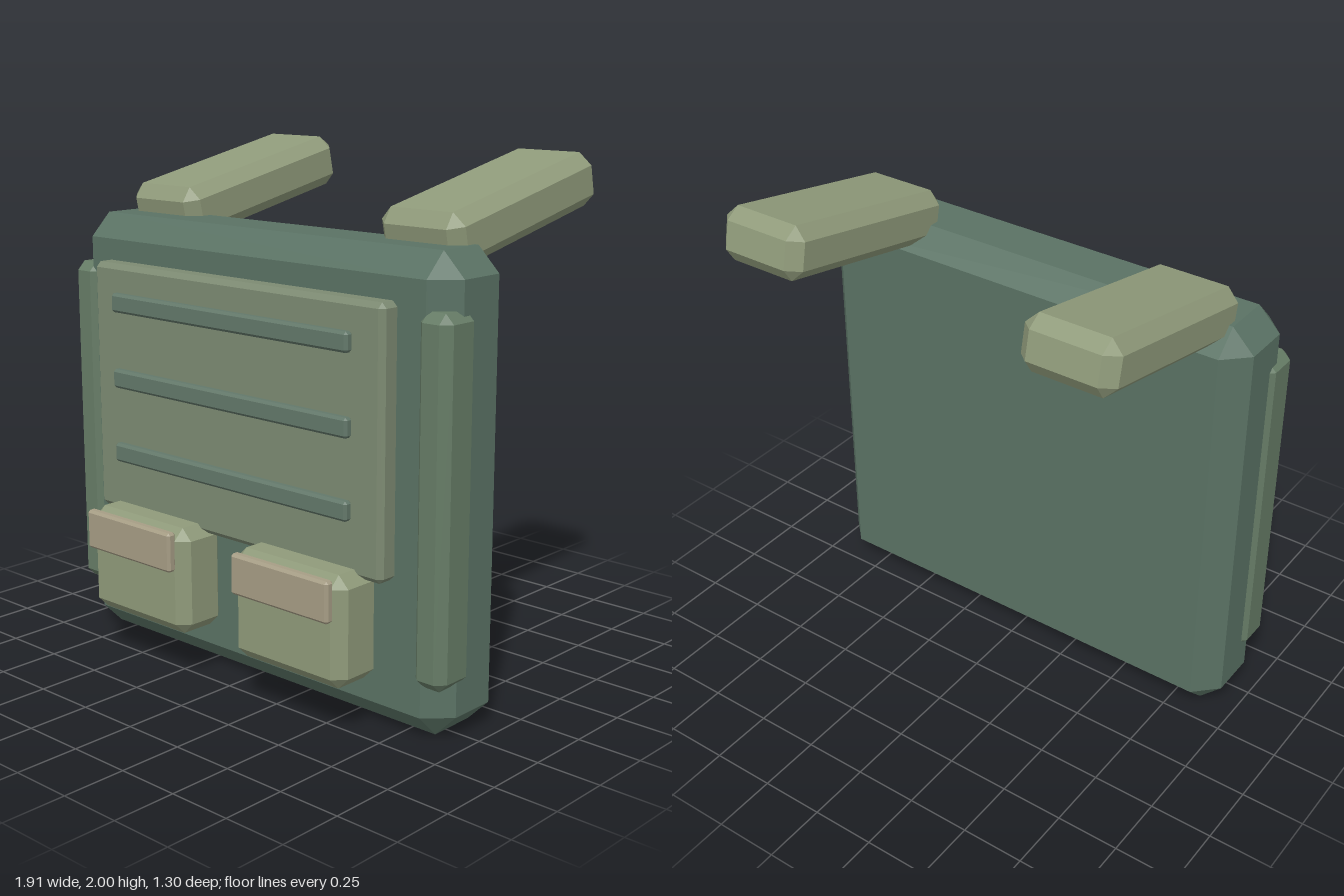
import * as THREE from 'three';
import { ConvexGeometry } from 'three/addons/geometries/ConvexGeometry.js';

const material = (color) => new THREE.MeshStandardMaterial({ color, flatShading: true });

// Box with every edge cut by a chamfer of size c
function chamferBox(w, h, d, c) {
  const [x, y, z] = [w / 2, h / 2, d / 2];
  const points = [];
  for (const i of [-1, 1]) for (const j of [-1, 1]) for (const k of [-1, 1]) {
    points.push(
      new THREE.Vector3(i * x, j * (y - c), k * (z - c)),
      new THREE.Vector3(i * (x - c), j * y, k * (z - c)),
      new THREE.Vector3(i * (x - c), j * (y - c), k * z));
  }
  return new ConvexGeometry(points);
}

export function createModel() {
  const group = new THREE.Group();
  const bodyMat = material(0x5a7264);
  const panelMat = material(0x7c8a72);
  const sideMat = material(0x667c66);
  const stripMat = material(0x63786a);
  const pouchMat = material(0x8f9a7a);
  const flapMat = material(0xa69d85);

  // Chamfered block given by its [min, max] on each axis
  function block(name, mat, [x0, x1], [y0, y1], [z0, z1], c) {
    const mesh = new THREE.Mesh(chamferBox(x1 - x0, y1 - y0, z1 - z0, c), mat);
    mesh.position.set((x0 + x1) / 2, (y0 + y1) / 2, (z0 + z1) / 2);
    mesh.name = name;
    group.add(mesh);
    return mesh;
  }

  // Main pack and raised front panel
  block('body', bodyMat, [-0.94, 0.94], [0, 1.73], [0.03, 0.4], 0.09);
  block('frontPanel', panelMat, [-0.74, 0.74], [0.575, 1.56], [0.395, 0.49], 0.02);

  // Horizontal webbing strips on the panel
  for (const y of [0.82, 1.117, 1.415]) {
    block('webbingStrip', stripMat, [-0.607, 0.607], [y - 0.037, y + 0.037], [0.485, 0.523], 0.01);
  }

  // Mirrored parts
  for (const s of [-1, 1]) {
    const side = s > 0 ? 'left' : 'right';
    const span = (a, b) => (s > 0 ? [a, b] : [-b, -a]);
    block(side + 'SidePanel', sideMat, span(0.815, 0.957), [0.205, 1.535], [0.243, 0.42], 0.035);
    block(side + 'Pouch', pouchMat, span(0.125, 0.665), [0.19, 0.61], [0.39, 0.615], 0.045);
    block(side + 'PouchFlap', flapMat, span(0.163, 0.635), [0.45, 0.605], [0.61, 0.65], 0.01);

    // Shoulder strap rising towards the back
    const strap = block(side + 'Strap', pouchMat, span(0.465, 0.835), [1.7175, 1.9225], [-0.6465, 0.2185], 0.048);
    strap.rotation.x = 0.21;
  }
  return group;
}
